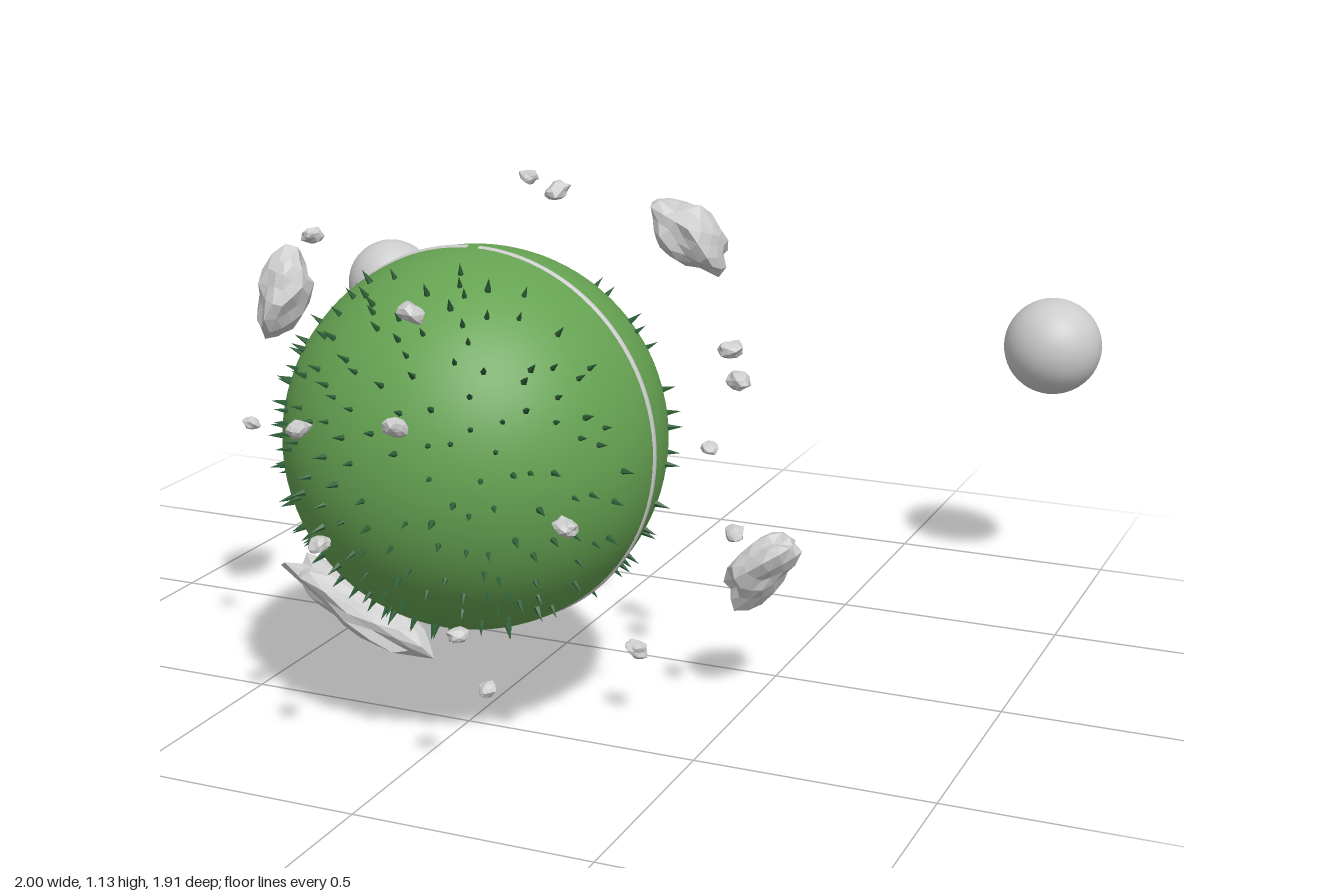
import * as THREE from 'three';

const CENTRE = new THREE.Vector3(0.013, 0.615, 0.48);
const RADIUS = 0.389;

function seeded(seed) {
  let s = seed;
  return () => (s = (s * 16807) % 2147483647) / 2147483647;
}

// Faceted boulder: icosahedron pushed in and out by a rule of position
function rockGeometry(seed, detail) {
  const g = new THREE.IcosahedronGeometry(1, detail);
  const p = g.attributes.position;
  const v = new THREE.Vector3();
  for (let i = 0; i < p.count; i++) {
    v.fromBufferAttribute(p, i);
    const k = 0.93
      + 0.09 * Math.sin(v.x * 4.1 + v.y * 3.3 + seed * 1.7)
      + 0.08 * Math.sin(v.y * 5.2 - v.z * 4.4 + seed * 2.9)
      + 0.06 * Math.sin(v.z * 7.1 + v.x * 6.3 + seed);
    p.setXYZ(i, v.x * k, v.y * k, v.z * k);
  }
  g.computeVertexNormals();
  return g;
}

export function createModel() {
  const model = new THREE.Group();
  const grey = new THREE.MeshStandardMaterial({ color: 0xcccccc });
  const stone = new THREE.MeshStandardMaterial({ color: 0xcccccc, flatShading: true });
  const green = new THREE.MeshStandardMaterial({ color: 0x66a352 });
  const darkGreen = new THREE.MeshStandardMaterial({ color: 0x2f6038, flatShading: true });

  const add = (parent, name, geometry, material, x = 0, y = 0, z = 0) => {
    const m = new THREE.Mesh(geometry, material);
    m.name = name;
    m.position.set(x, y, z);
    parent.add(m);
    return m;
  };

  // Planet and its thin seam, in two half arcs
  add(model, 'planet', new THREE.SphereGeometry(RADIUS, 64, 48), green, ...CENTRE);
  const gap = 0.03;
  for (const side of [-1, 1]) {
    const arc = new THREE.TorusGeometry(RADIUS - 0.006, 0.01, 10, 64, Math.PI - 2 * gap);
    add(model, 'seam', arc, grey, ...CENTRE).rotation.z = side * Math.PI / 2 + gap;
  }

  // Two moons behind
  for (const side of [-1, 1]) {
    add(model, 'moon', new THREE.SphereGeometry(0.114, 32, 24), grey, side * 0.886, 0.597, -0.84);
  }

  // Spikes: spread over the front cap and two patches behind the seam
  const spikes = new THREE.Group();
  spikes.name = 'spikes';
  model.add(spikes);
  const rand = seeded(4711);
  const spikeShape = new THREE.ConeGeometry(0.008, 0.036, 5);
  const up = new THREE.Vector3(0, 1, 0);
  const addSpike = (z, angle) => {
    const r = Math.sqrt(1 - z * z);
    const dir = new THREE.Vector3(r * Math.cos(angle), r * Math.sin(angle), z);
    const pos = dir.clone().multiplyScalar(RADIUS + 0.01).add(CENTRE);
    const spike = add(spikes, 'spike', spikeShape, darkGreen, ...pos);
    spike.quaternion.setFromUnitVectors(up, dir);
    spike.scale.setScalar(0.75 + 0.5 * rand());
  };
  for (let i = 0; i < 170; i++) {
    addSpike(0.3 + 0.69 * (i + 0.5) / 170, i * 2.39996 + 0.3 * rand());
  }
  for (const side of [0, Math.PI]) {
    for (let i = 0; i < 24; i++) {
      addSpike(-0.12 - 0.42 * rand(), side + (rand() - 0.5) * 2.1);
    }
  }

  // Large boulders: position, half sizes, tilt
  const boulders = [
    [-0.412, 0.098, 0.215, 0.215, 0.05, 0.07, -0.43],
    [-0.51, 0.83, 0.34, 0.105, 0.056, 0.066, 1.3],
    [0.35, 1.0, 0.17, 0.1, 0.056, 0.07, -0.7],
    [0.52, 0.31, 0.17, 0.105, 0.056, 0.07, 0.9],
  ];
  boulders.forEach(([x, y, z, a, b, c, tilt], i) => {
    const rock = add(model, 'boulder', rockGeometry(i + 1, 2), stone, x, y, z);
    rock.scale.set(a, b, c);
    rock.rotation.z = tilt;
  });

  // Small floating stones: position and size
  const stones = [
    [0.016, 1.107, 0.23, 0.02], [0.14, 1.107, 0.36, 0.025],
    [-0.43, 0.97, 0.35, 0.024], [0.465, 0.785, 0.23, 0.026],
    [0.52, 0.75, 0.33, 0.026], [-0.54, 0.57, 0.44, 0.018],
    [-0.38, 0.39, 0.34, 0.026], [-0.245, 0.225, 0.39, 0.022],
    [-0.22, 0.49, 0.08, 0.02], [0.37, 0.53, 0.09, 0.019],
    [0.05, 0.945, 0.82, 0.027], [0.07, 0.755, 0.93, 0.026],
    [-0.14, 0.725, 0.92, 0.024], [-0.1, 0.505, 0.925, 0.022],
    [0.355, 0.563, 0.803, 0.025], [0.15, 0.335, 0.845, 0.021],
    [0.52, 0.435, 0.34, 0.021], [0.32, 0.165, 0.365, 0.024],
    [0.02, 0.06, 0.455, 0.02],
  ];
  stones.forEach(([x, y, z, s], i) => {
    const rock = add(model, 'smallStone', rockGeometry(i + 9, 1), stone, x, y, z);
    rock.scale.set(s * 1.15, s * 0.75, s);
    rock.rotation.set(0, i * 1.3, (rand() - 0.5) * 1.2);
  });

  return model;
}
